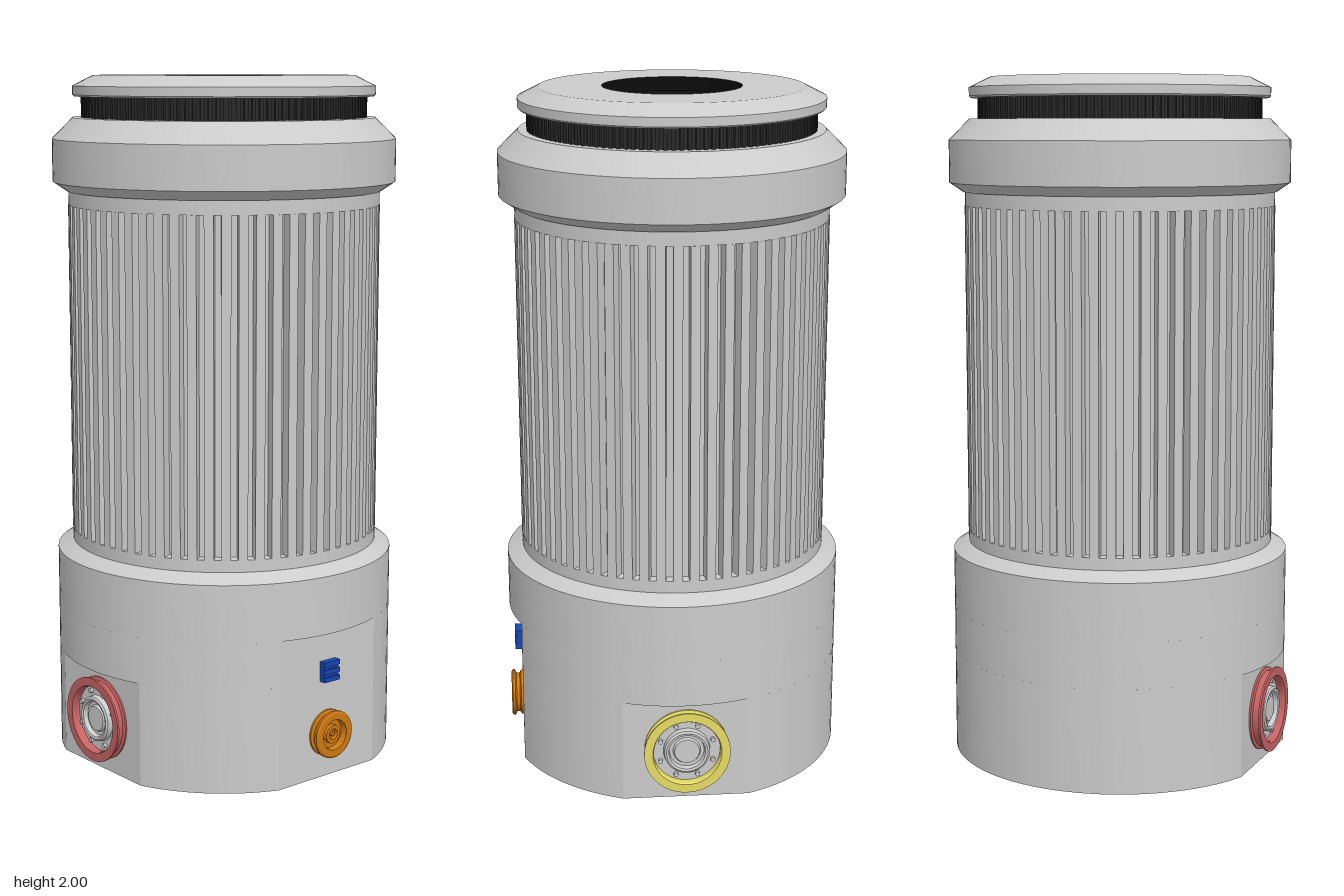
import * as THREE from 'three';
import { toCreasedNormals } from 'three/addons/utils/BufferGeometryUtils.js';

const paint = (color) => new THREE.MeshStandardMaterial({ color });
const GREY = paint(0xcccccc), BLACK = paint(0x0c0c0c), DARK = paint(0x2a2a2a);
const YELLOW = paint(0xe6dc64), RED = paint(0xc86464), ORANGE = paint(0xd07a10), BLUE = paint(0x1448b4);
const R = 0.5, FLAT = 0.465;

function add(parent, name, geometry, material = GREY) {
  const mesh = new THREE.Mesh(geometry, material);
  mesh.name = name;
  parent.add(mesh);
  return mesh;
}

// Turned part: [radius, height] points running up the outside
function turned(points, segments = 96) {
  const g = new THREE.LatheGeometry(points.map(([r, y]) => new THREE.Vector2(r, y)), segments);
  return toCreasedNormals(g, 0.35);
}

// Plan outline (plan y = -z) raised from y0 to y1
function raised(points, y0, y1) {
  const shape = new THREE.Shape(points.map(([x, z]) => new THREE.Vector2(x, -z)));
  const g = new THREE.ExtrudeGeometry(shape, { depth: y1 - y0, bevelEnabled: false });
  g.rotateX(-Math.PI / 2).translate(0, y0, 0);
  return toCreasedNormals(g, 0.3);
}

// Circle with flats cut at the front and, if wanted, both sides
function flattened(sideFlats) {
  const half = Math.acos(FLAT / R), points = [];
  const cuts = sideFlats ? [0, Math.PI / 2, Math.PI] : [Math.PI / 2];
  cuts.forEach((cut, i) => {
    const start = cut + half;
    const end = (i + 1 < cuts.length ? cuts[i + 1] : cuts[0] + Math.PI * 2) - half;
    const steps = Math.ceil((end - start) / 0.07);
    for (let k = 0; k <= steps; k++) {
      const a = start + (end - start) * k / steps;
      points.push([Math.cos(a) * R, Math.sin(a) * R]);
    }
  });
  return points;
}

// Gear-like outline with straight-sided slots
function toothed(count, inner, outer, fill) {
  const points = [], pitch = Math.PI * 2 / count;
  for (let i = 0; i < count; i++) {
    const c = (i + 0.5) * pitch, h = pitch * fill / 2, hi = h * outer / inner;
    for (const [a, r] of [[c - hi, inner], [c - h, outer], [c + h, outer], [c + hi, inner]]) {
      points.push([Math.cos(a) * r, Math.sin(a) * r]);
    }
  }
  return points;
}

// Round fitting whose axis points along +z
const facing = (points, segments = 48) => turned(points, segments).rotateX(Math.PI / 2);

function sidePort(name, material) {
  const port = new THREE.Group();
  port.name = name;
  add(port, 'portRing', facing([
    [0.122, -0.002], [0.122, 0.005], [0.113, 0.008], [0.113, 0.026], [0.125, 0.029],
    [0.125, 0.035], [0.1, 0.035], [0.097, 0.03], [0.097, 0.008],
  ]), material);
  add(port, 'portSocket', facing([
    [0.099, 0.01], [0.068, 0.01], [0.066, 0.026], [0.06, 0.03], [0.053, 0.028],
    [0.05, 0.014], [0.04, 0.014], [0.036, 0.022], [0, 0.022],
  ]));
  for (let i = 0; i < 8; i++) {
    const a = (i + 0.5) * Math.PI / 4;
    const pin = add(port, 'portPin', new THREE.CylinderGeometry(0.007, 0.007, 0.012, 10).rotateX(Math.PI / 2));
    pin.position.set(Math.cos(a) * 0.082, Math.sin(a) * 0.082, 0.014);
  }
  return port;
}

export function createModel() {
  const model = new THREE.Group();
  model.name = 'cylindricalHousing';

  // Base with flats for the connectors
  const base = new THREE.Group();
  base.name = 'base';
  model.add(base);
  add(base, 'baseLower', raised(flattened(true), 0, 0.305));
  add(base, 'baseMiddle', raised(flattened(false), 0.305, 0.44));
  add(base, 'baseUpper', turned([
    [0, 0.44], [R, 0.44], [R, 0.61], [0.46, 0.635], [0.455, 0.635], [0.455, 0.67], [0, 0.67],
  ]));

  // Ribbed grip
  add(model, 'ribbedBarrel', raised(toothed(60, 0.42, 0.456, 0.56), 0.67, 1.63));

  // Collar above the ribs
  add(model, 'collar', turned([
    [0, 1.63], [0.455, 1.63], [0.455, 1.67], [0.46, 1.67], [R, 1.697], [R, 1.82], [0.44, 1.88], [0, 1.88],
  ]));

  // Knurled neck
  add(model, 'knurledNeck', raised(toothed(120, 0.405, 0.415, 0.5), 1.88, 1.94), DARK);

  // Top cap and its dark opening
  add(model, 'topCap', turned([
    [0.2, 1.94], [0.435, 1.94], [0.44, 1.945], [0.44, 1.97], [0.38, 2], [0.2, 2],
  ]));
  add(model, 'opening', turned([
    [0.2, 2], [0.2, 1.96], [0.16, 1.94], [0.1, 1.92], [0.03, 1.91], [0, 1.91],
  ]), BLACK);

  // Connectors on the two sides
  for (const [side, name, material] of [[1, 'leftPort', YELLOW], [-1, 'rightPort', RED]]) {
    const port = sidePort(name, material);
    port.position.set(side * FLAT, 0.155, 0);
    port.rotation.y = side * Math.PI / 2;
    model.add(port);
  }

  // Round front connector
  add(model, 'frontConnector', facing([
    [0.068, -0.002], [0.068, 0.006], [0.06, 0.01], [0.06, 0.02], [0.07, 0.024], [0.07, 0.031],
    [0.064, 0.035], [0.045, 0.035], [0.042, 0.016], [0.028, 0.016], [0.027, 0.028],
    [0.016, 0.028], [0.015, 0.016], [0.007, 0.016], [0.006, 0.026], [0, 0.026],
  ]), ORANGE).position.set(0, 0.132, FLAT);

  // Small square front socket
  const socket = new THREE.Group();
  socket.name = 'squareSocket';
  socket.position.set(0, 0.32, FLAT);
  model.add(socket);
  add(socket, 'socketBody', new THREE.BoxGeometry(0.058, 0.06, 0.016), BLUE).position.z = 0.007;
  for (const y of [-0.023, 0, 0.023]) {
    add(socket, 'socketBar', new THREE.BoxGeometry(0.058, 0.014, 0.006), BLUE).position.set(0, y, 0.018);
  }
  return model;
}
